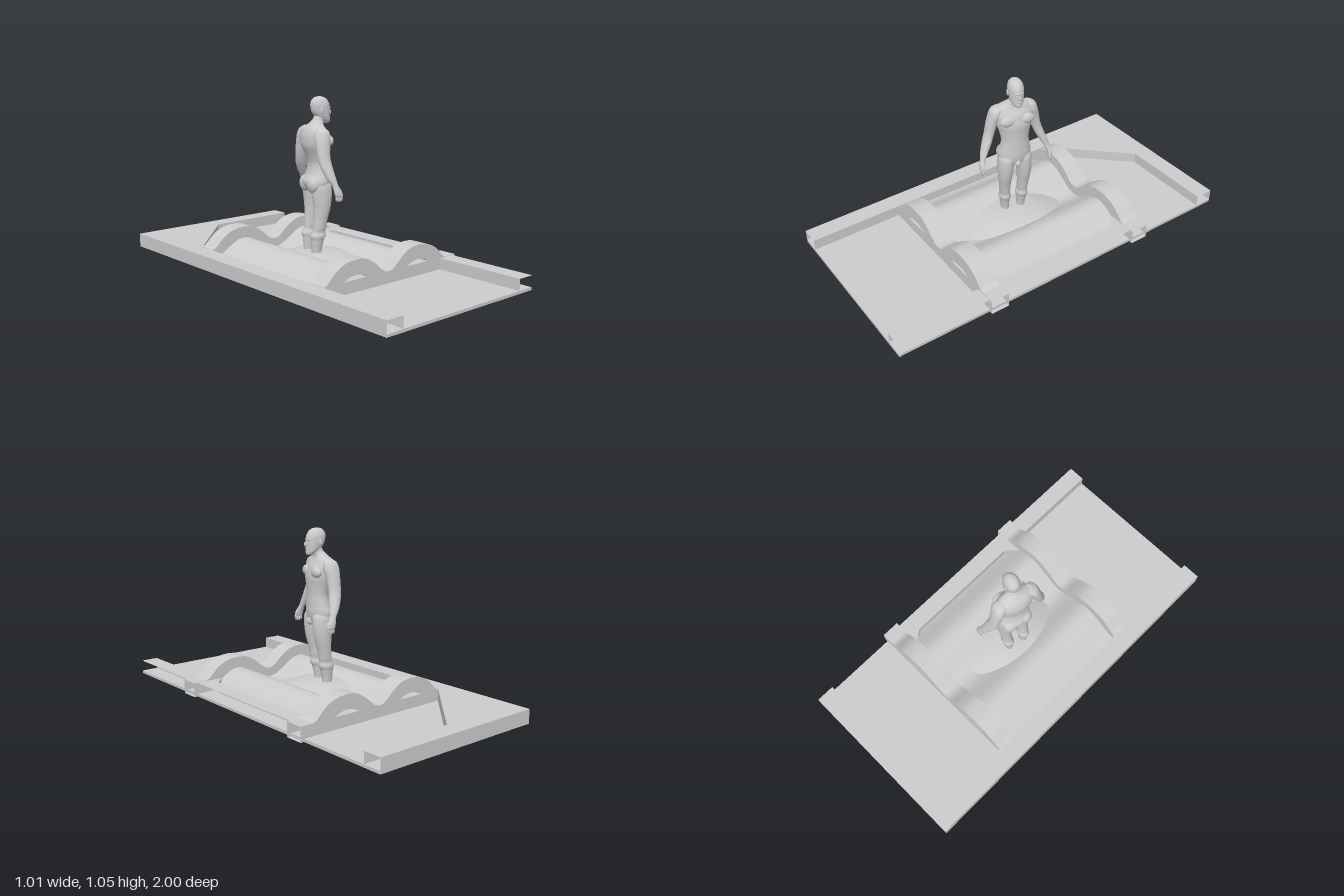
import * as THREE from 'three';

const grey = new THREE.MeshStandardMaterial({ color: 0xcccccc, side: THREE.DoubleSide });

function part(parent, name, geometry, x = 0, y = 0, z = 0) {
  const mesh = new THREE.Mesh(geometry, grey);
  mesh.name = name;
  mesh.position.set(x, y, z);
  parent.add(mesh);
  return mesh;
}

const shapeOf = (pts) => new THREE.Shape(pts.map(([x, y]) => new THREE.Vector2(x, y)));

// Upright hollow block from an (x, z) outline, left open on the +x limit and the +z end
function hollowWall(outline, y0, y1) {
  const geo = new THREE.ExtrudeGeometry(shapeOf(outline), { depth: y1 - y0, bevelEnabled: false });
  geo.rotateX(Math.PI / 2).translate(0, y1, 0);
  return dropFaces(geo, (p) => p.x > 0.48 || p.z > 0.99);
}

// Removes the triangles whose three corners all pass the test
function dropFaces(geo, test) {
  const p = geo.attributes.position, kept = [], v = new THREE.Vector3();
  for (let i = 0; i < p.count; i += 3) {
    const tri = [0, 1, 2].map((k) => v.fromBufferAttribute(p, i + k).clone());
    if (!tri.every(test)) tri.forEach((c) => kept.push(c.x, c.y, c.z));
  }
  const out = new THREE.BufferGeometry();
  out.setAttribute('position', new THREE.Float32BufferAttribute(kept, 3));
  out.computeVertexNormals();
  return out;
}

// Smooth closed skin through elliptical sections [y, x, z, radiusX, radiusZ], listed from the top down
function loft(sections, side = 1, steps = 5, seg = 24) {
  const centre = new THREE.CatmullRomCurve3(sections.map((s) => new THREE.Vector3(s[1], s[0], s[2] * side)));
  const radius = new THREE.CatmullRomCurve3(sections.map((s) => new THREE.Vector3(s[3], 0, s[4])));
  const rows = (sections.length - 1) * steps, pos = [], idx = [];
  for (let i = 0; i <= rows; i++) {
    const c = centre.getPoint(i / rows), r = radius.getPoint(i / rows);
    for (let j = 0; j < seg; j++) {
      const a = (j / seg) * Math.PI * 2;
      pos.push(c.x + r.x * Math.cos(a), c.y, c.z + r.z * Math.sin(a));
      if (i === rows) continue;
      const p = i * seg + j, q = i * seg + ((j + 1) % seg);
      idx.push(p, q, p + seg, q, q + seg, p + seg);
    }
  }
  for (const row of [0, rows]) {
    const c = centre.getPoint(row / rows), k = pos.length / 3;
    pos.push(c.x, c.y, c.z);
    for (let j = 0; j < seg; j++) {
      const p = row * seg + j, q = row * seg + ((j + 1) % seg);
      row === 0 ? idx.push(k, q, p) : idx.push(k, p, q);
    }
  }
  const geo = new THREE.BufferGeometry();
  geo.setAttribute('position', new THREE.Float32BufferAttribute(pos, 3));
  geo.setIndex(idx);
  geo.computeVertexNormals();
  return geo;
}

function buildTray(group) {
  part(group, 'floor', new THREE.BoxGeometry(0.995, 0.015, 2), -0.0125, 0.1525, 0);
  const walls = {
    sideWall: [[-0.51, -1], [-0.41, -1], [-0.41, 1], [-0.51, 1]],
    backWall: [[-0.41, -0.5], [-0.41, -1], [0.485, -1], [0.485, -0.9], [-0.03, -0.9]],
    frontCornerWall: [[0.39, 0.5], [0.485, 0.5], [0.485, 1], [0.39, 1]],
    basinWall: [[0.33, -0.4], [0.485, -0.4], [0.485, 0.4], [0.33, 0.4], [0.39, 0.34], [0.39, -0.34]],
  };
  for (const [name, outline] of Object.entries(walls)) part(group, name, hollowWall(outline, 0.145, 0.22));
}

// Double-humped end panel with a lens-shaped slot under each hump
function panelGeometry() {
  const half = [[-0.41, 0.222], [-0.385, 0.235], [-0.33, 0.285], [-0.27, 0.312], [-0.205, 0.32],
    [-0.14, 0.311], [-0.085, 0.28], [-0.035, 0.238], [-0.005, 0.223]];
  const top = half.concat(half.map(([x, y]) => [0.02 - x, y]).reverse());
  const curve = new THREE.SplineCurve(top.map(([x, y]) => new THREE.Vector2(x, y)));
  const shape = new THREE.Shape();
  shape.moveTo(0.505, 0.145);
  shape.lineTo(0.505, 0.222);
  curve.getPoints(80).reverse().forEach((p) => shape.lineTo(p.x, p.y));
  shape.lineTo(-0.41, 0.145);
  for (const cx of [-0.21, 0.22]) {
    const slot = new THREE.Path();
    slot.moveTo(cx - 0.077, 0.222);
    slot.bezierCurveTo(cx - 0.035, 0.252, cx + 0.035, 0.252, cx + 0.077, 0.222);
    shape.holes.push(slot);
  }
  const geo = new THREE.ExtrudeGeometry(shape, { depth: 0.1, bevelEnabled: false, curveSegments: 16 });
  return dropFaces(geo, (p) => p.x > 0.5);
}

function buildBasin(group) {
  const panel = panelGeometry();
  part(group, 'frontPanel', panel, 0, 0, 0.4);
  part(group, 'backPanel', panel, 0, 0, -0.5);
  // Thin waved sheet between the panels
  const wave = new THREE.PlaneGeometry(0.8, 0.8, 60, 1).rotateX(-Math.PI / 2).translate(-0.01, 0, 0);
  const p = wave.attributes.position;
  for (let i = 0; i < p.count; i++) {
    p.setY(i, 0.215 - 0.045 * Math.cos(((p.getX(i) - 0.01) / 0.43) * Math.PI * 2));
  }
  wave.computeVertexNormals();
  part(group, 'waveSheet', wave);
  // Mound under the figure, and the dish and pipes below the floor
  const lathe = (pts) => new THREE.LatheGeometry(pts.map(([x, y]) => new THREE.Vector2(x, y)), 48);
  part(group, 'mound', lathe([[0.3, 0.165], [0.23, 0.195], [0.16, 0.221], [0.1, 0.234], [0.04, 0.238], [0, 0.238]]), -0.02);
  part(group, 'dish', lathe([[0, 0.1], [0.08, 0.1], [0.1, 0.106], [0.16, 0.127], [0.212, 0.146]]), -0.053);
  part(group, 'mainPipe', new THREE.CylinderGeometry(0.043, 0.043, 0.105, 32), -0.05, 0.0525, 0);
  part(group, 'smallPipe', new THREE.CylinderGeometry(0.031, 0.031, 0.05, 32), 0.019, 0.105, 0);
}

function ellipsoid(parent, name, x, y, z, rx, ry, rz) {
  return part(parent, name, new THREE.SphereGeometry(1, 18, 12).scale(rx, ry, rz), x, y, z);
}

// Standing figure, facing local +x
function buildFigure(group) {
  part(group, 'torso', loft([
    [0.95, 0, 0, 0.028, 0.028], [0.925, -0.012, 0, 0.03, 0.03], [0.905, -0.024, 0, 0.036, 0.05],
    [0.885, -0.032, 0, 0.048, 0.09], [0.845, -0.03, 0, 0.066, 0.106], [0.8, -0.025, 0, 0.071, 0.099],
    [0.75, -0.016, 0, 0.06, 0.083], [0.7, -0.01, 0, 0.052, 0.074], [0.65, -0.014, 0, 0.057, 0.081],
    [0.61, -0.024, 0, 0.068, 0.09], [0.57, -0.02, 0, 0.058, 0.08], [0.55, -0.018, 0, 0.03, 0.03],
  ]));
  part(group, 'head', loft([
    [1.046, -0.004, 0, 0.006, 0.005], [1.041, -0.004, 0, 0.027, 0.021], [1.025, -0.003, 0, 0.045, 0.034],
    [1, 0, 0, 0.053, 0.04], [0.975, 0.003, 0, 0.052, 0.039], [0.95, 0.01, 0, 0.044, 0.036],
    [0.925, 0.025, 0, 0.03, 0.028], [0.911, 0.034, 0, 0.019, 0.017], [0.907, 0.034, 0, 0.008, 0.007],
  ]));
  ellipsoid(group, 'nose', 0.055, 0.965, 0, 0.011, 0.014, 0.006).rotation.z = 0.35;
  ellipsoid(group, 'brow', 0.046, 0.988, 0, 0.011, 0.006, 0.025);
  ellipsoid(group, 'lips', 0.05, 0.94, 0, 0.008, 0.006, 0.012);
  ellipsoid(group, 'groin', 0.03, 0.562, 0, 0.02, 0.022, 0.016);

  for (const side of [1, -1]) {
    const name = side > 0 ? 'right' : 'left';
    ellipsoid(group, name + 'Ear', -0.008, 0.975, 0.04 * side, 0.01, 0.017, 0.005);
    ellipsoid(group, name + 'Chest', 0.022, 0.822, 0.048 * side, 0.022, 0.03, 0.045);
    ellipsoid(group, name + 'Buttock', -0.058, 0.595, 0.042 * side, 0.035, 0.045, 0.042);
    part(group, name + 'Arm', loft([
      [0.892, -0.035, 0.075, 0.02, 0.02], [0.875, -0.036, 0.09, 0.037, 0.03], [0.845, -0.038, 0.1, 0.043, 0.032],
      [0.8, -0.042, 0.113, 0.038, 0.03], [0.74, -0.043, 0.128, 0.034, 0.026], [0.69, -0.035, 0.145, 0.032, 0.025],
      [0.64, -0.02, 0.166, 0.024, 0.02], [0.605, -0.006, 0.18, 0.017, 0.014], [0.58, 0.003, 0.188, 0.022, 0.012],
      [0.558, 0.008, 0.191, 0.022, 0.01], [0.55, 0.009, 0.191, 0.012, 0.006],
    ], side));
    for (let i = 0; i < 4; i++) {
      const length = [0.016, 0.02, 0.021, 0.018][i];
      ellipsoid(group, name + 'Finger', -0.006 + i * 0.01, 0.545, 0.19 * side, 0.0055, length, 0.0055);
    }
    ellipsoid(group, name + 'Thumb', 0.027, 0.566, 0.182 * side, 0.006, 0.022, 0.006).rotation.z = 0.3;
    part(group, name + 'Leg', loft([
      [0.615, -0.02, 0.045, 0.045, 0.035], [0.58, -0.018, 0.048, 0.058, 0.043], [0.53, -0.015, 0.051, 0.054, 0.042],
      [0.47, -0.016, 0.053, 0.046, 0.037], [0.41, -0.024, 0.052, 0.038, 0.031], [0.36, -0.031, 0.05, 0.036, 0.028],
      [0.31, -0.039, 0.048, 0.036, 0.028], [0.26, -0.043, 0.046, 0.029, 0.023], [0.2, -0.044, 0.045, 0.023, 0.019],
    ], side));
  }
}

export function createModel() {
  const model = new THREE.Group();
  model.name = 'figureOnTray';
  const add = (name, build) => {
    const group = new THREE.Group();
    group.name = name;
    build(group);
    model.add(group);
    return group;
  };
  add('tray', buildTray);
  add('basin', buildBasin);
  add('figure', buildFigure).rotation.y = -0.23;
  return model;
}
